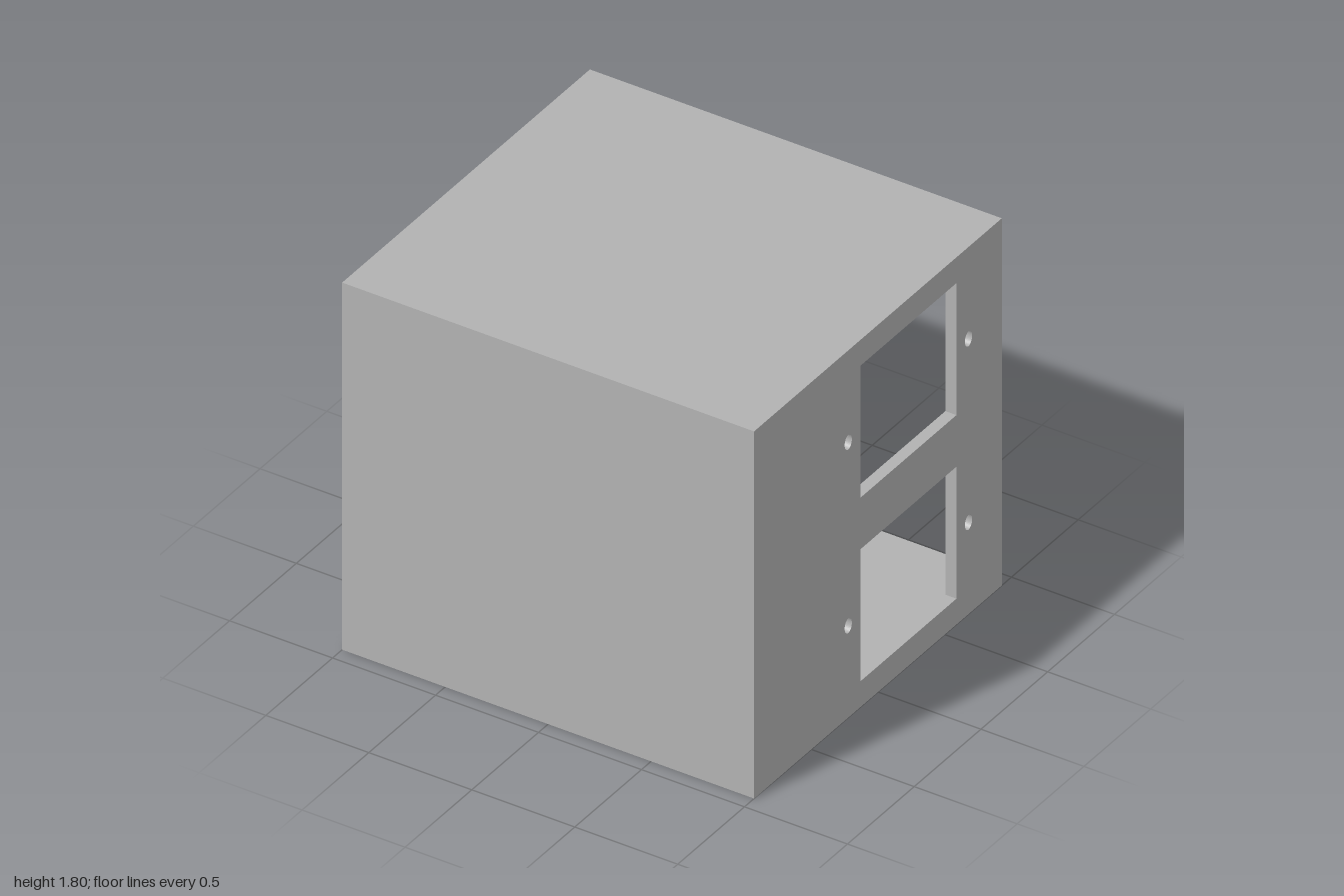
import * as THREE from 'three';

const W = 2, H = 1.802, D = 1.856, T = 0.054; // outer size and wall thickness

export function createModel() {
  const group = new THREE.Group();
  const grey = new THREE.MeshStandardMaterial({ color: 0xb2b2b2 });
  grey.name = 'grey';

  const rect = (target, u0, u1, v0, v1) => {
    target.moveTo(u0, v0);
    target.lineTo(u1, v0);
    target.lineTo(u1, v1);
    target.lineTo(u0, v1);
    target.closePath();
    return target;
  };
  const panel = (shape) =>
    new THREE.ExtrudeGeometry(shape, { depth: T, bevelEnabled: false, curveSegments: 20 });
  const add = (name, geometry) => {
    const mesh = new THREE.Mesh(geometry, grey);
    mesh.name = name;
    group.add(mesh);
  };

  // floor with a rectangular cable slot (shape v runs along -z)
  const floor = rect(new THREE.Shape(), -W / 2, W / 2, -D / 2, D / 2);
  floor.holes.push(rect(new THREE.Path(), -0.51, -0.112, 0.285, 0.47));
  add('floor', panel(floor).rotateX(-Math.PI / 2));

  // plain top
  add('top', new THREE.BoxGeometry(W, T, D).translate(0, H - T / 2, 0));

  // wall with two openings, each flanked by oval screw holes (shape u runs along -z)
  const wall = rect(new THREE.Shape(), -D / 2, D / 2, T, H - T);
  const u = 0.228;
  for (const v of [0.4505, 1.3515]) {
    wall.holes.push(rect(new THREE.Path(), u - 0.36, u + 0.36, v - 0.324, v + 0.324));
    for (const side of [-1, 1]) {
      const hole = new THREE.Path();
      hole.absellipse(u + side * 0.4505, v, 0.027, 0.036, 0, Math.PI * 2, false, 0);
      wall.holes.push(hole);
    }
  }
  add('openingWall', panel(wall).rotateY(Math.PI / 2).translate(W / 2 - T, 0, 0));

  // opposite solid wall
  add('solidWall', new THREE.BoxGeometry(T, H - 2 * T, D).translate(-W / 2 + T / 2, H / 2, 0));

  // front panel between the side walls; the back stays open
  add('frontPanel', new THREE.BoxGeometry(W - 2 * T, H - 2 * T, T).translate(0, H / 2, D / 2 - T / 2));

  return group;
}
